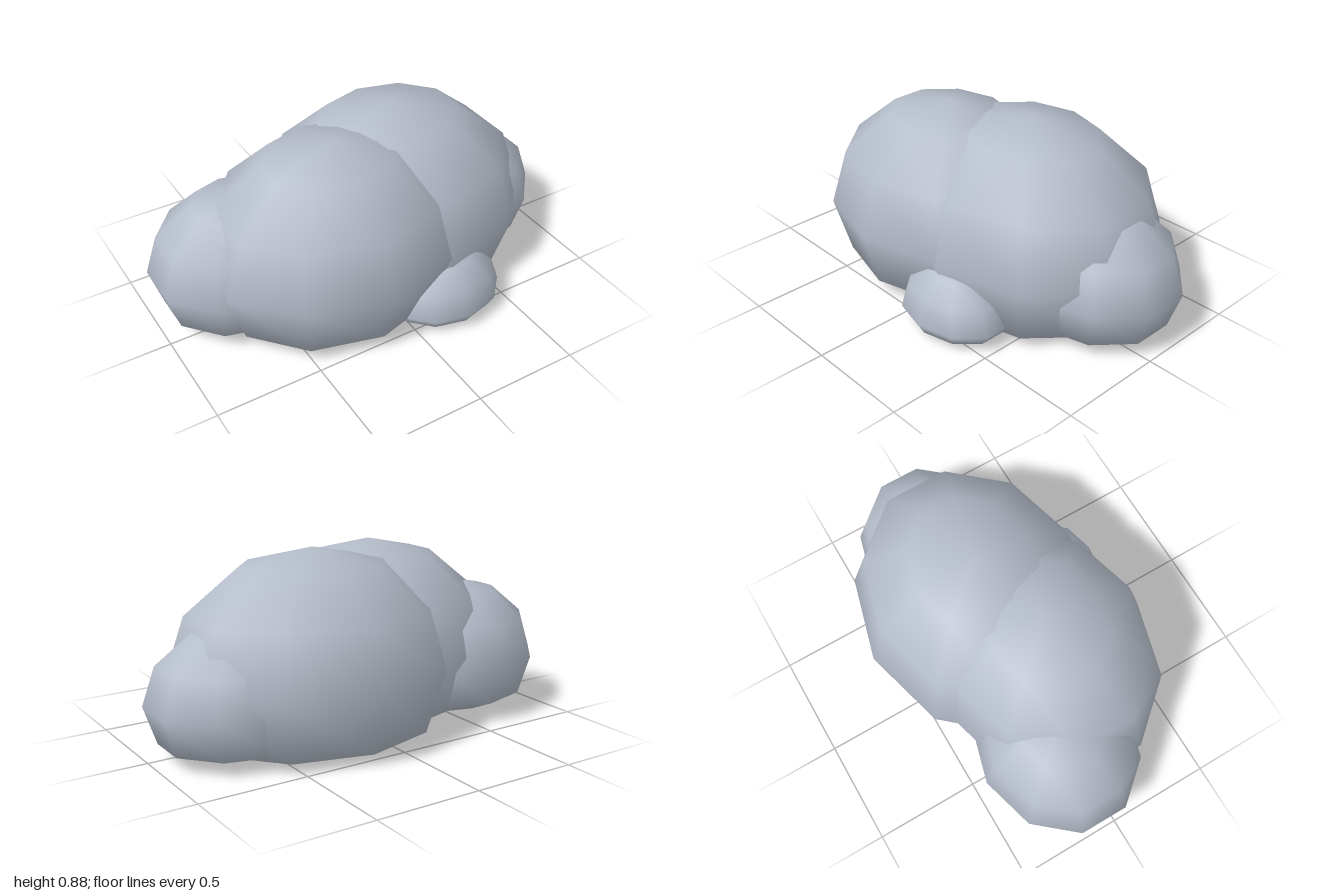
import * as THREE from 'three';
import { mergeVertices } from 'three/addons/utils/BufferGeometryUtils.js';

const FLOOR = 0.05;   // below this height the puffs are pressed nearly flat
const SQUASH = 0.17;

// Low-poly ellipsoid with a flattened underside and smooth normals
function puffGeometry([cx, cy, cz], [rx, ry, rz]) {
  let geo = new THREE.SphereGeometry(1, 10, 6);
  geo.rotateY(Math.PI / 2); // put corners on the z axis
  geo.scale(rx, ry, rz);
  geo.translate(cx, cy, cz);
  geo.deleteAttribute('uv');
  geo.deleteAttribute('normal');
  geo = mergeVertices(geo, 1e-4);
  const pos = geo.attributes.position;
  for (let i = 0; i < pos.count; i++) {
    const y = pos.getY(i);
    if (y < FLOOR) pos.setY(i, FLOOR + (y - FLOOR) * SQUASH);
  }
  geo.computeVertexNormals();
  return geo;
}

export function createModel() {
  const group = new THREE.Group();
  group.name = 'cloud';

  const cloudGrey = new THREE.MeshStandardMaterial({ color: 0xb4bcc9 });
  cloudGrey.name = 'cloudGrey';

  // name, centre, radii
  const puffs = [
    ['leftMainPuff', [0.2, 0.33, -0.06], [0.69, 0.55, 0.57]],
    ['rightMainPuff', [-0.19, 0.345, 0.07], [0.64, 0.523, 0.535]],
    ['leftSidePuff', [0.58, 0.25, -0.08], [0.44, 0.35, 0.37]],
    ['rightSidePuff', [-0.58, 0.285, -0.085], [0.44, 0.37, 0.375]],
    ['frontSmallPuff', [0.215, 0.09, 0.41], [0.285, 0.23, 0.22]],
  ];
  for (const [name, centre, radii] of puffs) {
    const mesh = new THREE.Mesh(puffGeometry(centre, radii), cloudGrey);
    mesh.name = name;
    group.add(mesh);
  }
  return group;
}
